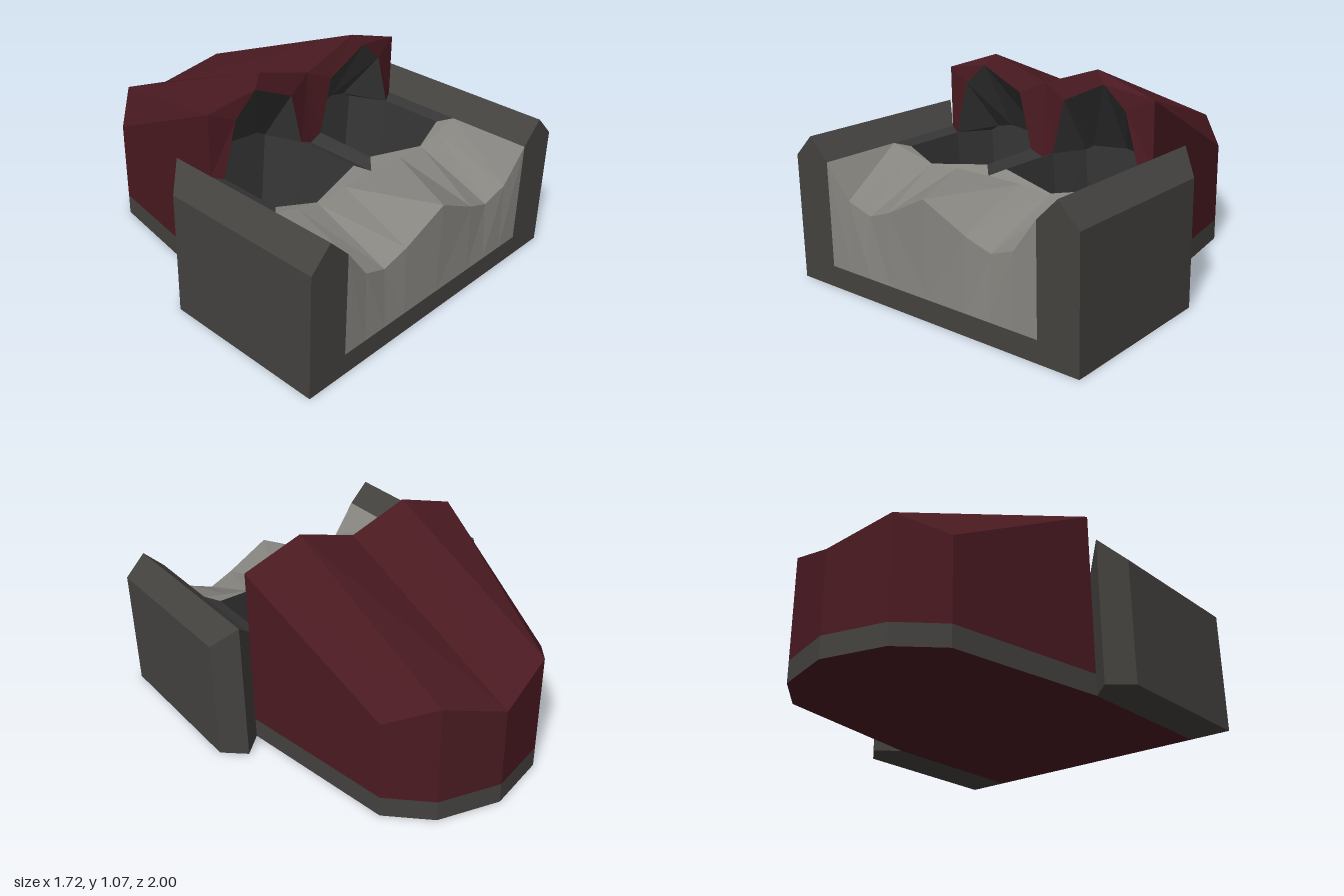
import * as THREE from 'three';

const paint = (color) => new THREE.MeshStandardMaterial({ color, flatShading: true, side: THREE.DoubleSide });
const maroon = paint(0x4a1a21);
const dark = paint(0x44423f);
const lining = paint(0x363636);
const grey = paint(0x878580);

// Quads joining two rows of points
function strip(a, b, closed = false) {
  const quads = [];
  for (let i = 0; i < a.length - (closed ? 0 : 1); i++) {
    const j = (i + 1) % a.length;
    quads.push([a[i], a[j], b[j], b[i]]);
  }
  return quads;
}

// Polygons on the +x half, mirrored to -x. Faces point away from the inner
// point, or towards it when the part is hollow.
function mirroredMesh(name, material, polygons, inner, hollow = false) {
  const positions = [];
  const centre = new THREE.Vector3(...inner);
  const triangle = new THREE.Triangle();
  const normal = new THREE.Vector3();
  const middle = new THREE.Vector3();
  for (const poly of polygons) {
    for (let i = 1; i < poly.length - 1; i++) {
      triangle.set(...[poly[0], poly[i], poly[i + 1]].map((p) => new THREE.Vector3(...p)));
      if (triangle.getArea() < 1e-7) continue;
      triangle.getNormal(normal);
      triangle.getMidpoint(middle);
      if ((normal.dot(middle.sub(centre)) < 0) !== hollow) {
        [triangle.b, triangle.c] = [triangle.c, triangle.b];
      }
      const { a, b, c } = triangle;
      for (const p of [a, b, c]) positions.push(p.x, p.y, p.z);
      for (const p of [a, c, b]) positions.push(-p.x, p.y, p.z);
    }
  }
  const geometry = new THREE.BufferGeometry();
  geometry.setAttribute('position', new THREE.Float32BufferAttribute(positions, 3));
  geometry.computeVertexNormals();
  const mesh = new THREE.Mesh(geometry, material);
  mesh.name = name;
  return mesh;
}

export function createModel() {
  const model = new THREE.Group();
  model.name = 'twinOpeningBody';
  const add = (...args) => model.add(mirroredMesh(...args));
  const atHeight = (row, y) => row.map(([x, , z]) => [x, y, z]);

  // Sloping rear hood: upper outline from the shoulder round to the tail
  const outline = [[0.64, 0.965, 0.14], [0.51, 0.535, -0.72], [0.32, 0.64, -0.91], [0, 0.535, -1]];
  const [shoulder, hip, rearPeak, tail] = outline;
  const peak = [0.32, 1.07, 0.14];
  const valley = [0, 0.965, 0.14];
  const hoodBase = atHeight(outline, 0.11);
  const hoodInner = [0.2, 0.3, -0.3];
  add('hoodSides', maroon, strip(outline, hoodBase), hoodInner);
  add('hoodRoof', maroon, [[shoulder, hip, rearPeak, peak], [peak, rearPeak, tail, valley]], hoodInner);
  add('baseSkirt', dark, strip(hoodBase, atHeight(outline, 0)), hoodInner);

  // Hood front with an arch on each side
  const arch = [[0.58, 0.62, 0.17], [0.5, 0.9, 0.17], [0.375, 1.01, 0.17], [0.14, 0.9, 0.17], [0.07, 0.62, 0.17]];
  const sill = [0, 0.59, 0.17];
  const corner = [0.64, 0.64, 0.14];
  add('hoodFront', maroon, strip([corner, shoulder, peak, valley, sill], arch), hoodInner);

  // Hollow pockets: sloping ceiling, walls and floor
  const throat = [[0.52, 0.6, -0.04], [0.47, 0.63, -0.04], [0.375, 0.65, -0.04], [0.17, 0.63, -0.04], [0.12, 0.6, -0.04]];
  const lip = [[0.06, 0.62, 0.51], [0.375, 0.58, 0.57], [0.58, 0.62, 0.51]];
  const mouth = [...throat, arch[4], ...lip, arch[0]];
  const floor = mouth.map(([x, , z]) => [0.33 + (x - 0.33) * 0.87, 0.2, z > 0.4 ? z - 0.03 : z]);
  add('pocketLinings', lining,
    [...strip(arch, throat), ...strip(mouth, floor, true), floor], [0.33, 0.5, 0.25], true);

  // Narrow rims beside and between the pockets
  const rampBack = [[0.64, 0.64, 0.57], [0.51, 0.61, 0.575], [0.375, 0.575, 0.58], [0.2, 0.59, 0.575], [0, 0.59, 0.57]];
  add('pocketRims', lining, [
    [corner, arch[0], lip[2], rampBack[0]],
    [sill, arch[4], lip[0], rampBack[4]],
  ], [0.3, -2, 0.4]);

  // Scooped front ramp
  const rampFront = [[0.64, 0.64, 1], [0.51, 0.47, 0.99], [0.375, 0.42, 0.98], [0.24, 0.47, 0.99], [0, 0.59, 1]];
  const rampFoot = rampFront.map(([x]) => [x, 0.11, 1]);
  add('frontRamp', grey, [
    ...strip(rampBack, rampFront),
    ...strip(rampFront, rampFoot),
    [rampBack[0], lip[2], lip[1], rampBack[2], rampBack[1]],
    [rampBack[4], lip[0], lip[1], rampBack[2], rampBack[3]],
  ], [0.3, 0, 0.7]);
  add('frontSill', dark, strip(rampFoot, atHeight(rampFoot, 0)), [0.3, 0.05, 0.5]);
  add('underside', maroon, [[...atHeight(outline, 0), [0, 0, 1], [0.64, 0, 1]]], [0.2, 0.3, 0]);

  // Ridged side walls with pointed backs
  const wallFront = [[0.64, 0, 1], [0.64, 0.64, 1], [0.75, 0.75, 1], [0.86, 0.64, 1], [0.86, 0, 1]];
  const wallBack = wallFront.map(([x, y]) => [x, y, x === 0.75 ? 0.04 : 0.14]);
  const ridgeFoot = [0.75, 0, 0.04];
  add('sideWalls', dark, [
    wallFront,
    ...strip(wallFront, wallBack),
    [wallBack[0], wallBack[1], wallBack[2], ridgeFoot],
    [wallBack[4], wallBack[3], wallBack[2], ridgeFoot],
    [wallFront[0], wallFront[4], wallBack[4], ridgeFoot, wallBack[0]],
  ], [0.75, 0.3, 0.6]);

  return model;
}
